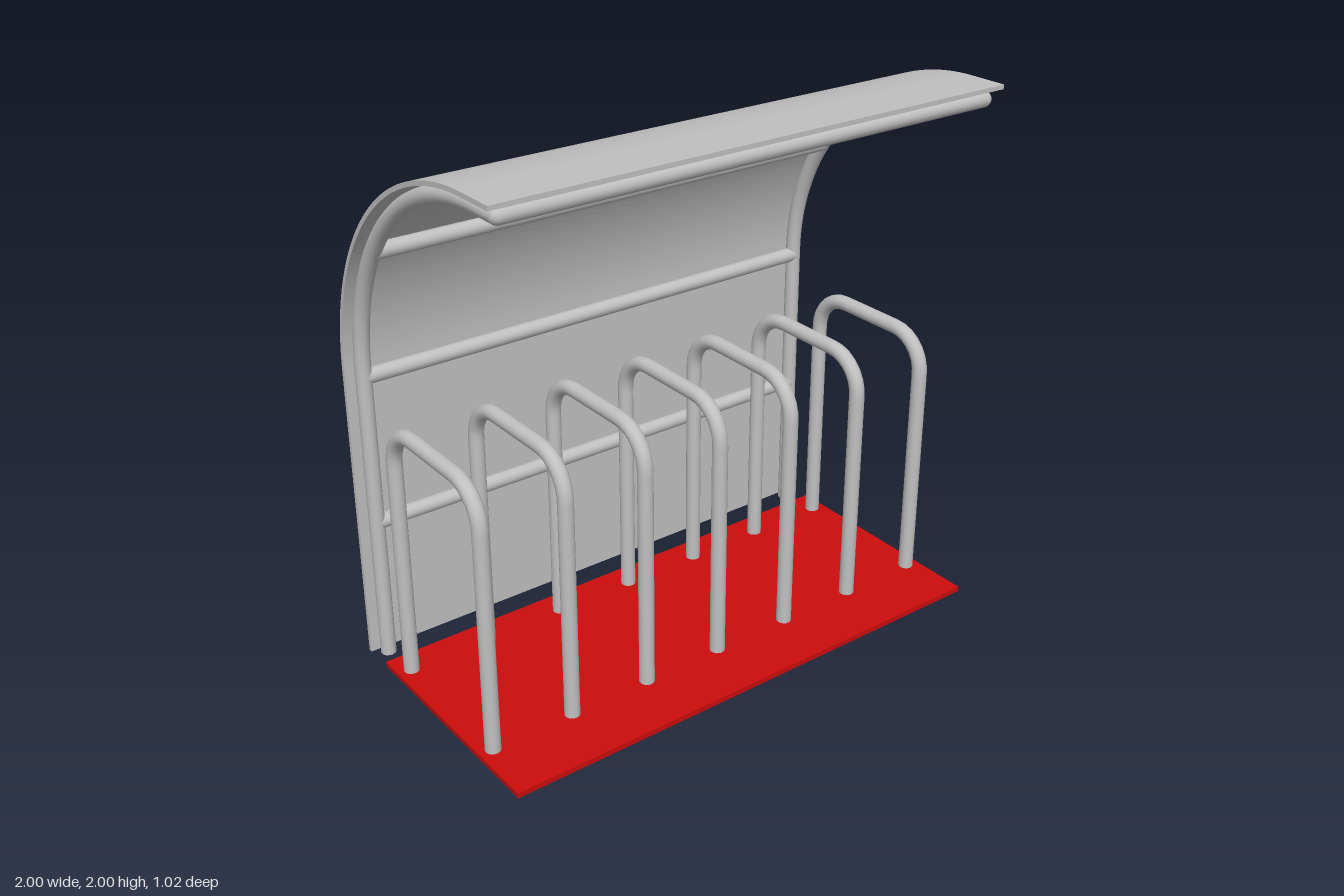
import * as THREE from 'three';

const steel = new THREE.MeshStandardMaterial({ color: 0xc0c0c0 });
steel.name = 'galvanised steel';
const red = new THREE.MeshStandardMaterial({ color: 0xcc0d0d });
red.name = 'red base';

const R = 0.028; // tube radius
const ARC = { z: 0.36, y: 1.13 }; // centre of the roof curve
const KAPPA = 0.5523;

const v = (z, y) => new THREE.Vector3(0, y, z);

function add(parent, geometry, material, name, x = 0, y = 0, z = 0) {
  const mesh = new THREE.Mesh(geometry, material);
  mesh.name = name;
  mesh.position.set(x, y, z);
  parent.add(mesh);
  return mesh;
}

// Quarter-circle bend from a to b, rounding off the given corner
function bend(a, corner, b) {
  return new THREE.CubicBezierCurve3(a, a.clone().lerp(corner, KAPPA), b.clone().lerp(corner, KAPPA), b);
}

function pathOf(...curves) {
  const path = new THREE.CurvePath();
  curves.forEach((c) => path.add(c));
  return path;
}

// Horizontal tube along x
function rail(parent, name, halfLength, y, z) {
  const geometry = new THREE.CylinderGeometry(R, R, halfLength * 2, 16);
  geometry.rotateZ(Math.PI / 2);
  return add(parent, geometry, steel, name, 0, y, z);
}

export function createModel() {
  const model = new THREE.Group();
  model.name = 'bicycleShelter';

  // Floor plate
  add(model, new THREE.BoxGeometry(2, 0.02, 0.89), red, 'basePlate', 0, 0.01, 0.065);

  // Curved back and roof sheet, drawn in the z-y plane
  const t = 0.016;
  const sheet = new THREE.Shape();
  sheet.moveTo(-0.51, 0);
  sheet.lineTo(-0.51, ARC.y);
  sheet.absarc(ARC.z, ARC.y, 0.87, Math.PI, Math.PI / 2, true);
  sheet.lineTo(0.51, 2);
  sheet.lineTo(0.51, 2 - t);
  sheet.absarc(ARC.z, ARC.y, 0.87 - t, Math.PI / 2, Math.PI, false);
  sheet.lineTo(-0.51 + t, 0);
  sheet.closePath();
  const shell = new THREE.ExtrudeGeometry(sheet, { depth: 2, bevelEnabled: false, curveSegments: 28 });
  shell.rotateY(-Math.PI / 2).translate(1, 0, 0);
  add(model, shell, steel, 'roofAndBackSheet');

  // Curved posts at both ends
  const r = 0.82, postX = 0.948;
  const backZ = ARC.z - r, topY = ARC.y + r, frontZ = 0.47;
  const postPath = pathOf(
    new THREE.LineCurve3(v(backZ, 0), v(backZ, ARC.y)),
    bend(v(backZ, ARC.y), v(backZ, topY), v(ARC.z, topY)),
    new THREE.LineCurve3(v(ARC.z, topY), v(frontZ, topY))
  );
  const postGeometry = new THREE.TubeGeometry(postPath, 72, R, 16);
  const footGeometry = new THREE.CircleGeometry(R, 16).rotateX(Math.PI / 2);
  const elbowGeometry = new THREE.SphereGeometry(R, 16, 10);
  for (const side of [-1, 1]) {
    add(model, postGeometry, steel, 'post', side * postX);
    add(model, footGeometry, steel, 'postFoot', side * postX, 0, backZ);
    add(model, elbowGeometry, steel, 'postElbow', side * postX, topY, frontZ);
  }

  // Cross rails joining the posts
  rail(model, 'frontRail', postX, topY, frontZ);
  for (const y of [0.545, 1.108, 1.603]) {
    const rise = Math.max(0, y - ARC.y);
    rail(model, 'backRail', postX, y, ARC.z - Math.sqrt(r * r - rise * rise));
  }

  // Row of seven hoop stands
  const z0 = 0.272, z1 = -0.284, hoopY = 1.0, b = 0.14;
  const hoopPath = pathOf(
    new THREE.LineCurve3(v(z0, 0.01), v(z0, hoopY - b)),
    bend(v(z0, hoopY - b), v(z0, hoopY), v(z0 - b, hoopY)),
    new THREE.LineCurve3(v(z0 - b, hoopY), v(z1 + b, hoopY)),
    bend(v(z1 + b, hoopY), v(z1, hoopY), v(z1, hoopY - b)),
    new THREE.LineCurve3(v(z1, hoopY - b), v(z1, 0.01))
  );
  const hoopGeometry = new THREE.TubeGeometry(hoopPath, 72, R, 16);
  for (let i = -3; i <= 3; i++) add(model, hoopGeometry, steel, 'hoopStand', i * 0.316);

  return model;
}
